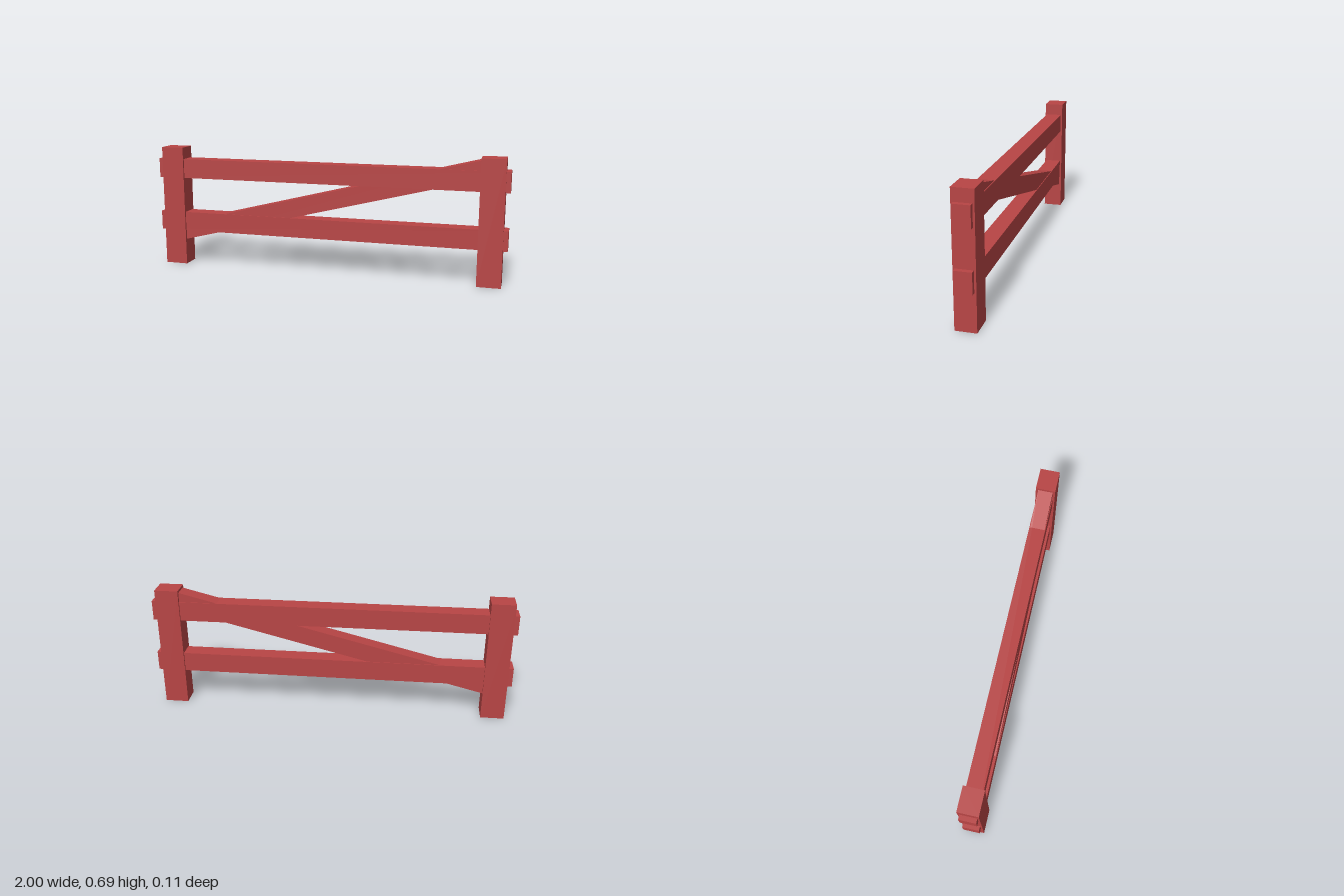
import * as THREE from 'three';

export function createModel() {
  const group = new THREE.Group();
  const redPaint = new THREE.MeshStandardMaterial({ color: 0xb84545 });
  redPaint.name = 'red paint';

  const beam = (name, w, h, d, x, y) => {
    const mesh = new THREE.Mesh(new THREE.BoxGeometry(w, h, d), redPaint);
    mesh.name = name;
    mesh.position.set(x, y, 0);
    group.add(mesh);
    return mesh;
  };

  // Upright posts at both ends
  for (const [name, side] of [['leftPost', 1], ['rightPost', -1]]) {
    beam(name, 0.13, 0.69, 0.11, side * 0.91, 0.345);
  }

  // Horizontal rails, passing through the posts
  beam('lowerRail', 2, 0.11, 0.09, 0, 0.256);
  beam('upperRail', 2, 0.11, 0.09, 0, 0.568);

  // Slightly thinner diagonal brace, its ends buried in the posts
  const brace = beam('diagonalBrace', 1.81, 0.098, 0.082, 0, 0.412);
  brace.rotation.z = Math.atan(0.253);

  return group;
}
